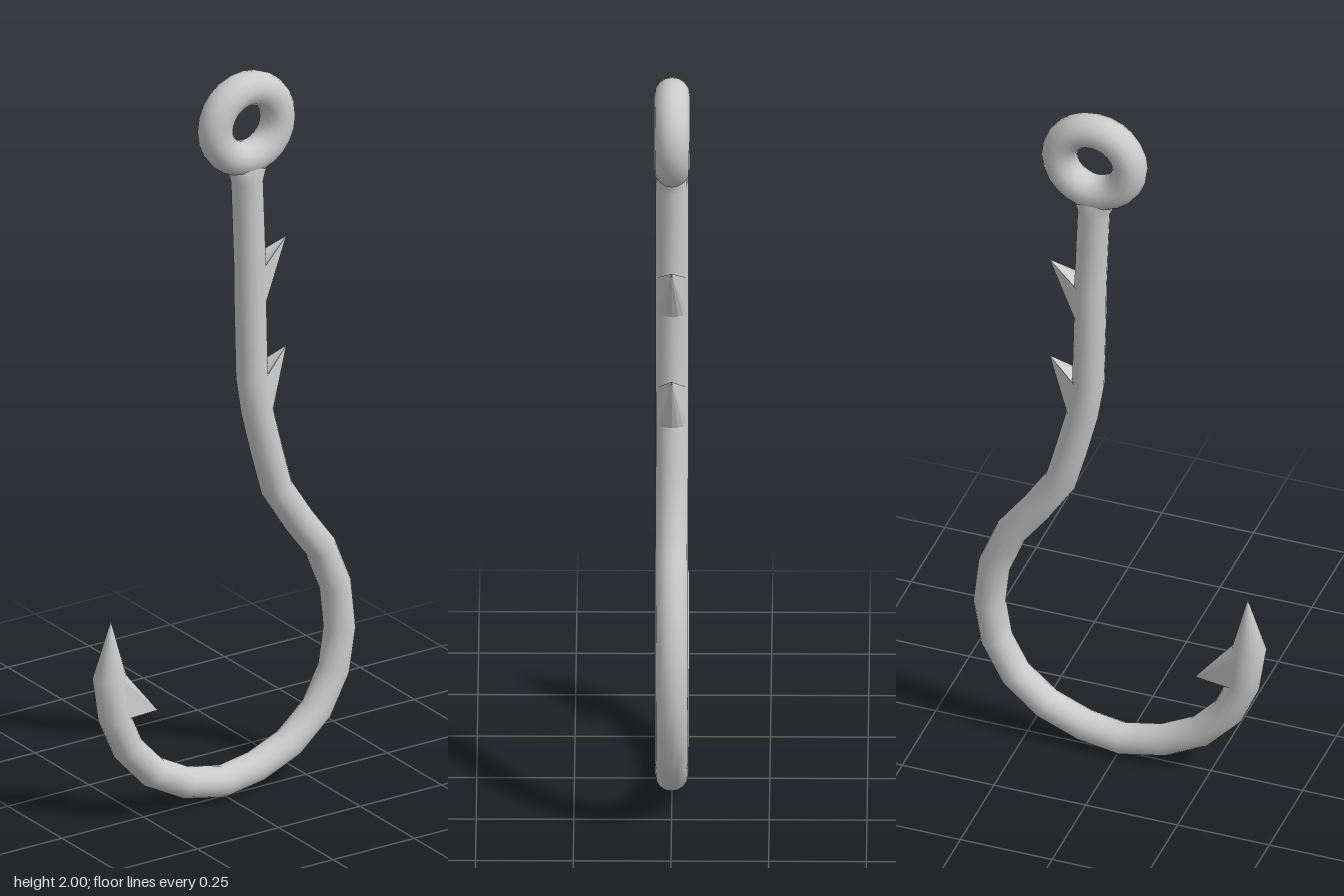
import * as THREE from 'three';

const RADIUS = 0.042;
const SIDES = 16;

// Centreline stations from eye to point: x, y, in-plane radius, depth radius
const STATIONS = [
  [0.068, 1.775, 0.075, 0.035], [0.068, 1.735, 0.058, 0.041], [0.069, 1.70],
  [0.078, 1.46], [0.079, 1.36], [0.084, 1.15], [0.10, 1.05], [0.13, 0.93],
  [0.16, 0.82], [0.226, 0.717], [0.293, 0.627], [0.34, 0.51], [0.353, 0.39],
  [0.335, 0.278], [0.282, 0.177], [0.198, 0.103], [0.095, 0.06], [-0.008, 0.043],
  [-0.122, 0.067], [-0.22, 0.119], [-0.298, 0.204], [-0.34, 0.302],
  [-0.354, 0.415, 0.045, 0.042], [-0.35, 0.57, 0, 0],
];

function bufferGeometry(positions, index) {
  const geo = new THREE.BufferGeometry();
  geo.setAttribute('position', new THREE.Float32BufferAttribute(positions, 3));
  if (index) geo.setIndex(index);
  geo.computeVertexNormals();
  return geo;
}

// Round wire swept through the stations in the xy plane
function wireGeometry(stations) {
  const pos = [], index = [];
  const direction = (a, b) => new THREE.Vector2(b[0] - a[0], b[1] - a[1]).normalize();
  stations.forEach((s, i) => {
    const [x, y, rn = RADIUS, rz = RADIUS] = s;
    const t = new THREE.Vector2();
    if (i > 0) t.add(direction(stations[i - 1], s));
    if (i < stations.length - 1) t.add(direction(s, stations[i + 1]));
    t.normalize();
    for (let j = 0; j < SIDES; j++) {
      const a = (j / SIDES) * Math.PI * 2;
      pos.push(x + t.y * rn * Math.cos(a), y - t.x * rn * Math.cos(a), rz * Math.sin(a));
      if (i === stations.length - 1) continue;
      const p = i * SIDES + j, q = i * SIDES + ((j + 1) % SIDES);
      index.push(p, p + SIDES, q, q, p + SIDES, q + SIDES);
    }
  });
  return bufferGeometry(pos, index);
}

// Sharp barb: a patch of the wire between two centres, drawn out to one tip
function barbGeometry(upper, lower, tip) {
  const up = new THREE.Vector2(upper[0] - lower[0], upper[1] - lower[1]).normalize();
  const steps = 6, spread = 1.15, loop = [], pos = [];
  const arc = (c, dir) => {
    for (let k = 0; k <= steps; k++) {
      const a = dir * spread * ((2 * k) / steps - 1);
      const r = RADIUS * Math.cos(a);
      loop.push([c[0] + up.y * r, c[1] - up.x * r, RADIUS * Math.sin(a)]);
    }
  };
  arc(upper, 1);
  arc(lower, -1);
  loop.forEach((p, i) => pos.push(...p, ...loop[(i + 1) % loop.length], ...tip, 0));
  return bufferGeometry(pos);
}

export function createModel() {
  const group = new THREE.Group();
  const material = new THREE.MeshStandardMaterial({ color: 0xcccccc });
  const add = (name, geometry) => {
    const mesh = new THREE.Mesh(geometry, material);
    mesh.name = name;
    group.add(mesh);
    return mesh;
  };

  // Eye ring
  add('eye', new THREE.TorusGeometry(0.096, 0.046, 16, 24)).position.set(0.067, 1.858, 0);

  // Shank, bend and point
  add('hookWire', wireGeometry(STATIONS));

  // Barbs
  add('upperShankBarb', barbGeometry([0.078, 1.46], [0.079, 1.36], [0.19, 1.515]));
  add('lowerShankBarb', barbGeometry([0.084, 1.15], [0.10, 1.05], [0.19, 1.21]));
  add('pointBarb', barbGeometry([-0.354, 0.415], [-0.34, 0.302], [-0.206, 0.288]));

  return group;
}
